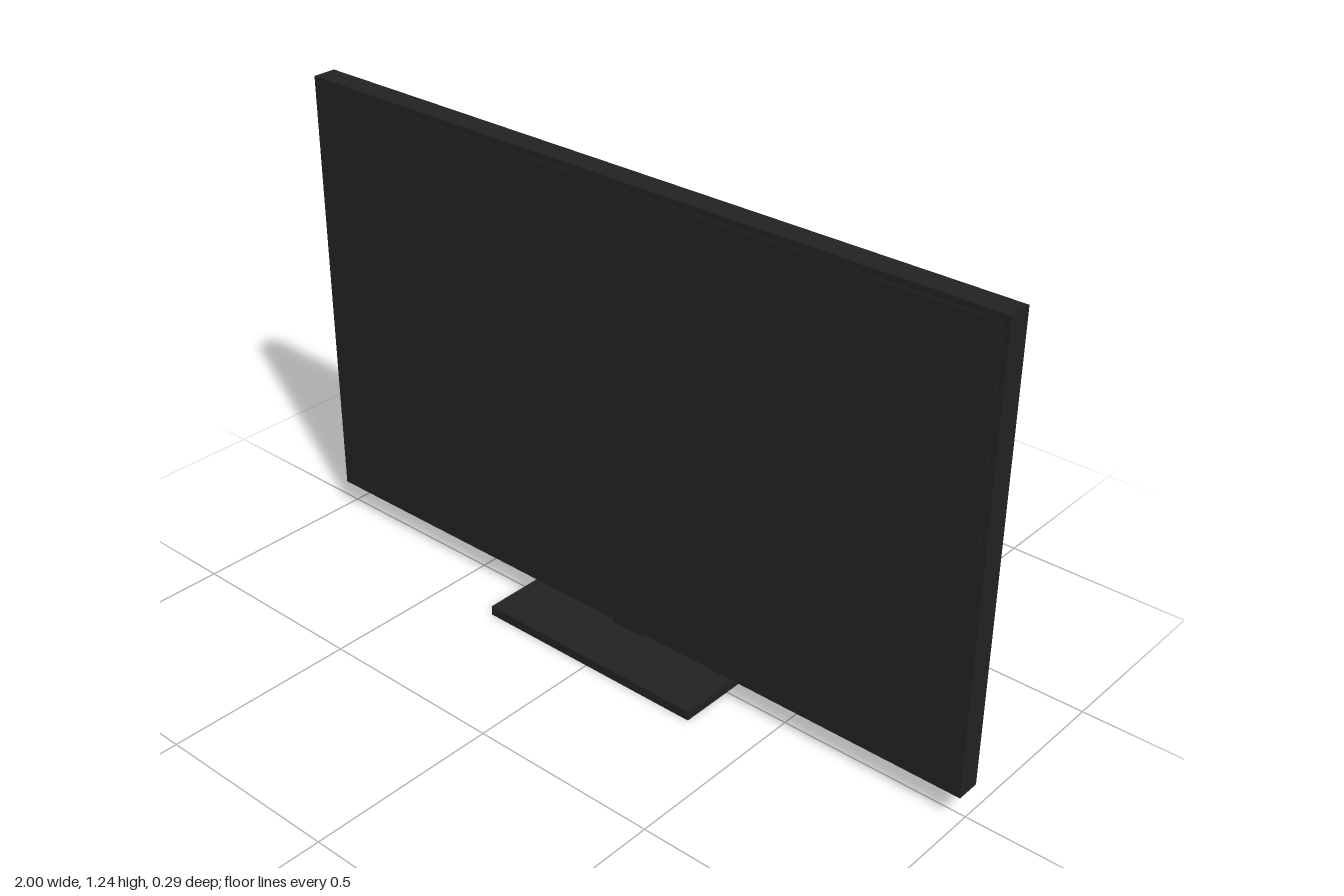
import * as THREE from 'three';

export function createModel() {
  const model = new THREE.Group();
  model.name = 'television';

  const black = new THREE.MeshStandardMaterial({ color: 0x222222 });
  black.name = 'matte black';

  // Box given by its lower and upper limits on each axis
  const addBox = (name, [x0, x1], [y0, y1], [z0, z1]) => {
    const mesh = new THREE.Mesh(new THREE.BoxGeometry(x1 - x0, y1 - y0, z1 - z0), black);
    mesh.name = name;
    mesh.position.set((x0 + x1) / 2, (y0 + y1) / 2, (z0 + z1) / 2);
    model.add(mesh);
  };

  // Display: housing with a slightly raised screen on its front
  addBox('housing', [-1, 1], [0.072, 1.24], [-0.031, 0.032]);
  addBox('screen', [-0.983, 0.983], [0.088, 1.222], [0.031, 0.035]);

  // Stand: neck fixed to the back of the housing, on a flat base
  addBox('neck', [-0.046, 0.046], [0.025, 0.094], [-0.056, -0.008]);
  addBox('base', [-0.325, 0.325], [0, 0.025], [-0.146, 0.146]);

  return model;
}
